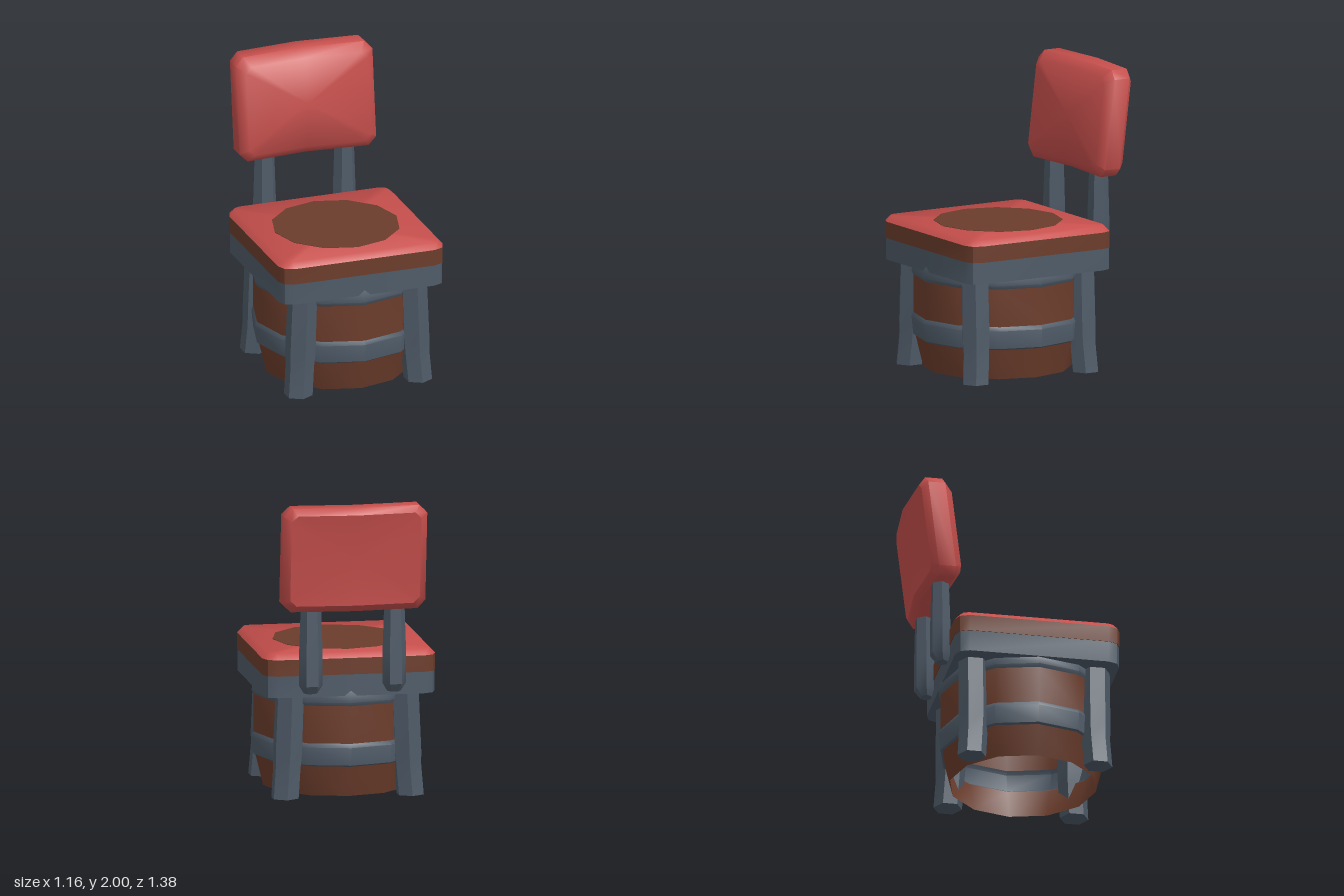
import * as THREE from 'three';
import { mergeVertices, toCreasedNormals } from 'three/addons/utils/BufferGeometryUtils.js';

const V = (x, y, z) => new THREE.Vector3(x, y, z);

// Skin between rings of points, with optional fan caps at either end
function loft(rings, { crease = 0.6, start = true, end = true } = {}) {
  const pos = [];
  const tri = (...pts) => pts.forEach((p) => pos.push(p.x, p.y, p.z));
  const n = rings[0].length;
  const centre = (ring) => ring.reduce((s, p) => s.add(p), V(0, 0, 0)).divideScalar(n);
  for (let r = 0; r < rings.length - 1; r++) {
    for (let i = 0; i < n; i++) {
      const j = (i + 1) % n, a = rings[r], b = rings[r + 1];
      tri(a[i], a[j], b[j]);
      tri(a[i], b[j], b[i]);
    }
  }
  const first = rings[0], last = rings[rings.length - 1];
  for (let i = 0; i < n; i++) {
    const j = (i + 1) % n;
    if (start) tri(centre(first), first[j], first[i]);
    if (end) tri(centre(last), last[i], last[j]);
  }
  const geo = new THREE.BufferGeometry();
  geo.setAttribute('position', new THREE.Float32BufferAttribute(pos, 3));
  return toCreasedNormals(mergeVertices(geo), crease);
}

// Rounded rectangle, counterclockwise, with extra points at the middle of top and bottom
function outline(hw, hh, r, steps) {
  const pts = [];
  [[1, 1], [-1, 1], [-1, -1], [1, -1]].forEach(([sx, sy], k) => {
    for (let s = 0; s <= steps; s++) {
      const a = (k + s / steps) * Math.PI / 2;
      pts.push([sx * (hw - r) + r * Math.cos(a), sy * (hh - r) + r * Math.sin(a)]);
    }
    if (k === 0) pts.push([0, hh]);
    if (k === 2) pts.push([0, -hh]);
  });
  return pts;
}

// Horizontal hexagon
function hexRing(x, y, z, r, turn = 0) {
  return Array.from({ length: 6 }, (_, k) => {
    const a = turn + k * Math.PI / 3;
    return V(x + r * Math.sin(a), y, z + r * Math.cos(a));
  });
}

export function createModel() {
  const group = new THREE.Group();
  const material = (name, color, side = THREE.FrontSide) =>
    Object.assign(new THREE.MeshStandardMaterial({ color, side }), { name });
  const red = material('red leather', 0xc64f4c);
  const wood = material('brown wood', 0x6c3d2c, THREE.DoubleSide);
  const metal = material('grey metal', 0x4f5b68, THREE.DoubleSide);
  const add = (name, geo, mat) => {
    const mesh = new THREE.Mesh(geo, mat);
    mesh.name = name;
    group.add(mesh);
    return mesh;
  };
  const midZ = 0.125;

  // Open barrel: staves and hoops stacked as strips of one profile
  const barrel = (name, profile, mat) => {
    const lathe = new THREE.LatheGeometry(profile.map(([r, y]) => new THREE.Vector2(r, y)), 12);
    add(name, toCreasedNormals(lathe, 0.6), mat).position.z = midZ;
  };
  barrel('lowerStaves', [[0.49, 0.01], [0.54, 0.215]], wood);
  barrel('lowerHoop', [[0.54, 0.215], [0.555, 0.225], [0.568, 0.345], [0.555, 0.372]], metal);
  barrel('upperStaves', [[0.555, 0.372], [0.555, 0.625]], wood);
  barrel('upperHoop', [[0.555, 0.625], [0.567, 0.648], [0.562, 0.7], [0.545, 0.75]], metal);

  // Seat: metal frame, wooden board, padded top
  const seatRing = (y, inset) => outline(0.58 - inset, 0.556 - inset, 0.09 - inset, 2)
    .map(([u, v]) => V(u, y, midZ - v));
  add('seatFrame', loft([seatRing(0.695, 0.004), seatRing(0.84, 0.004)]), metal);
  add('seatBoard', loft([seatRing(0.84, 0), seatRing(0.95, 0)]), wood);
  add('seatPad', loft([seatRing(0.95, 0), seatRing(0.988, 0.038)], { crease: 1 }), red);
  const disc = add('seatDisc', new THREE.CylinderGeometry(0.427, 0.427, 0.006, 12), wood);
  disc.position.set(0, 0.988, 0.12);

  for (const sx of [1, -1]) {
    // Splayed six-sided legs
    for (const sz of [1, -1]) {
      add(sz > 0 ? 'frontLeg' : 'backLeg', loft([
        hexRing(sx * 0.42, 0, midZ + sz * 0.425, 0.096),
        hexRing(sx * 0.405, 0.2, midZ + sz * 0.412, 0.096),
        hexRing(sx * 0.4, 0.3, midZ + sz * 0.41, 0.102),
        hexRing(sx * 0.385, 0.72, midZ + sz * 0.41, 0.099),
      ]), metal);
    }
    // Posts carrying the backrest
    add('backPost', loft([
      hexRing(sx * 0.28, 0.73, -0.473, 0.04, Math.PI / 6),
      hexRing(sx * 0.28, 0.785, -0.485, 0.07, Math.PI / 6),
      hexRing(sx * 0.28, 1.0, -0.485, 0.07, Math.PI / 6),
      hexRing(sx * 0.28, 1.4, -0.487, 0.058, Math.PI / 6),
    ].map((ring) => ring.map((p) => V(sx * 0.28 + (p.x - sx * 0.28) * 1.13, p.y, p.z)))), metal);
  }

  // Backrest cushion, leaning back and folded slightly along its middle
  const backRing = (z, inset) => outline(0.48 - inset, 0.355 - inset, 0.055 - inset * 0.3, 1)
    .map(([x, y]) => V(x, 1.645 + y, z - 0.508 - 0.12 * y - 0.035 * (1 - Math.abs(x) / 0.42)));
  const rear = backRing(-0.103, 0.045);
  add('backrest', loft([rear, backRing(-0.065, 0), backRing(0.05, 0), backRing(0.103, 0.055)],
    { crease: 1, start: false }), red);
  add('backrestRearPanel', loft([rear], { end: false }), red);

  return group;
}
